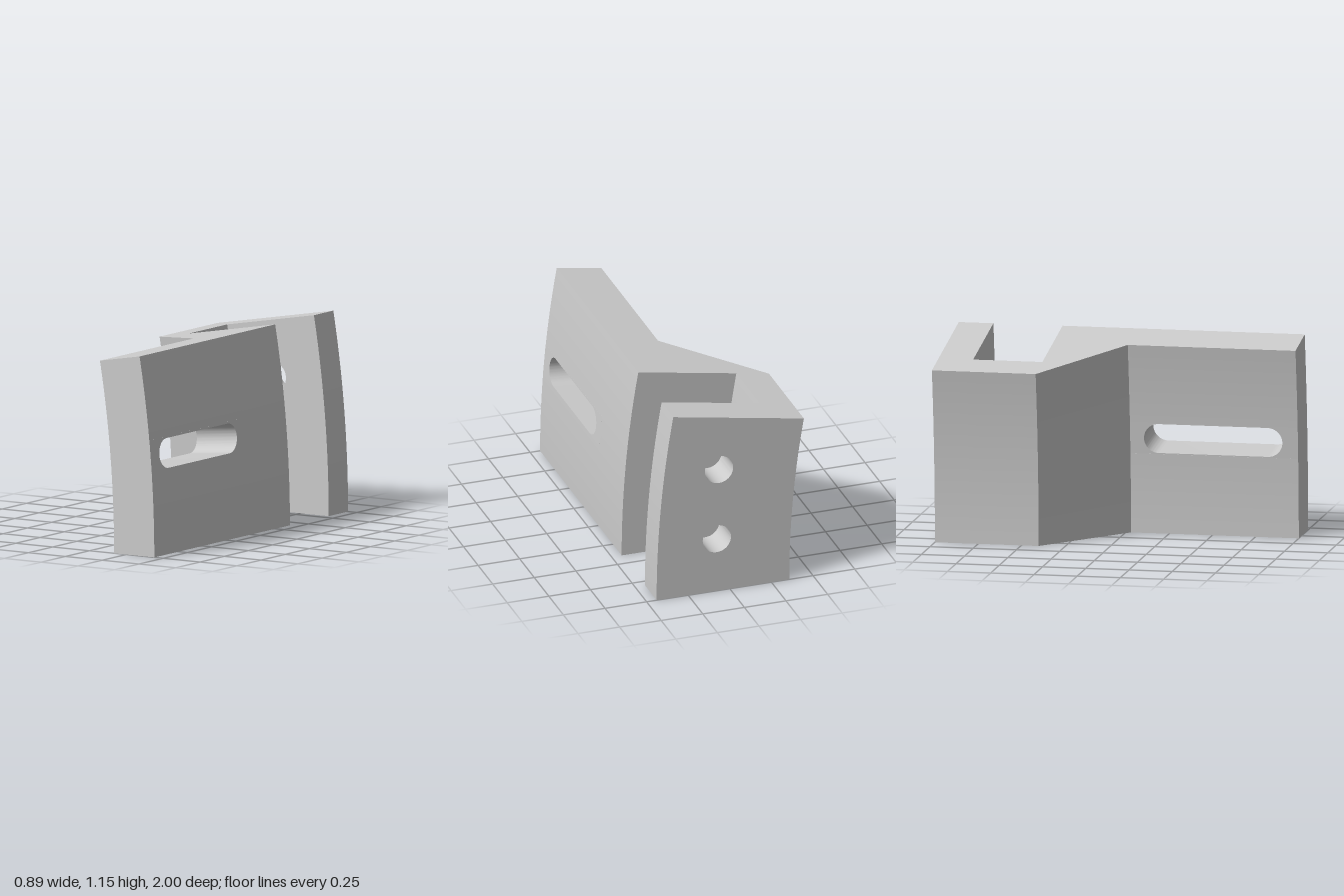
import * as THREE from 'three';
import { toCreasedNormals } from 'three/addons/utils/BufferGeometryUtils.js';

// The bracket is swept through 10 degrees about an axis parallel to z at x = CX, y = 0.
const CX = -6.154;
const SWEEP = THREE.MathUtils.degToRad(10);
const R_OUT = 0.44 - CX;     // outer face
const R_PLATE = 0.167 - CX;  // inner face of the slotted plate
const R_WEB = -0.158 - CX;   // floor of the channel
const R_IN = -0.357 - CX;    // innermost face
const HOLE = 0.085;          // radius of holes and slot ends

const material = new THREE.MeshStandardMaterial({ color: 0xcccccc });

function add(group, name, geometry) {
  const mesh = new THREE.Mesh(toCreasedNormals(geometry, 0.4), material);
  mesh.name = name;
  group.add(mesh);
}

// Curved block between two radii and two angles, running from z0 to z1
function sector(rIn, rOut, z0, z1, a0 = 0, a1 = SWEEP, holes = []) {
  const shape = new THREE.Shape();
  shape.absarc(CX, 0, rOut, a0, a1, false);
  shape.absarc(CX, 0, rIn, a1, a0, true);
  shape.closePath();
  for (const [x, y] of holes) {
    shape.holes.push(new THREE.Path().absarc(x, y, HOLE, 0, Math.PI * 2, true));
  }
  const geometry = new THREE.ExtrudeGeometry(shape, { depth: z1 - z0, bevelEnabled: false, curveSegments: 28 });
  return geometry.translate(0, 0, z0);
}

// Sector whose inner face slopes from R_IN at the back to R_PLATE at the front
function slopedSector(z0, z1) {
  const geometry = sector(R_IN, R_OUT, z0, z1);
  const p = geometry.attributes.position;
  for (let i = 0; i < p.count; i++) {
    const dx = p.getX(i) - CX, y = p.getY(i);
    if (p.getZ(i) > z1 - 0.01 && Math.hypot(dx, y) < R_IN + 0.01) {
      const k = R_PLATE / R_IN;
      p.setXY(i, CX + dx * k, y * k);
    }
  }
  return geometry;
}

// Narrow band at mid sweep with a rounded slot cut along the radius
function slotBand(z0, z1, s0, s1, h) {
  const shape = new THREE.Shape();
  shape.moveTo(-z1, -h).lineTo(-z0, -h).lineTo(-z0, h).lineTo(-z1, h).closePath();
  const slot = new THREE.Path();
  slot.absarc(-s0 - HOLE, 0, HOLE, -Math.PI / 2, Math.PI / 2, false);
  slot.absarc(-s1 + HOLE, 0, HOLE, Math.PI / 2, Math.PI * 1.5, false);
  slot.closePath();
  shape.holes.push(slot);
  return new THREE.ExtrudeGeometry(shape, { depth: R_OUT - R_PLATE, bevelEnabled: false, curveSegments: 20 })
    .translate(0, 0, R_PLATE)
    .rotateY(Math.PI / 2)
    .rotateZ(SWEEP / 2)
    .translate(CX, 0, 0);
}

export function createModel() {
  const group = new THREE.Group();
  group.name = 'curvedBracket';

  // Channel: drilled back flange, web and sloped front wall
  add(group, 'backFlange', sector(R_IN, R_OUT, -1, -0.8, 0, SWEEP, [[0.065, 0.767], [0.078, 0.33]]));
  add(group, 'channelWeb', sector(R_IN, R_WEB, -0.8, -0.4));
  add(group, 'slopedWall', slopedSector(-0.4, 0.03));

  // Slotted plate: solid strips below and above the slot band
  const h = 0.095, half = h / R_OUT, mid = SWEEP / 2;
  add(group, 'plateLower', sector(R_PLATE, R_OUT, 0.03, 1, 0, mid - half));
  add(group, 'plateSlotBand', slotBand(0.03, 1, 0.11, 0.91, h));
  add(group, 'plateUpper', sector(R_PLATE, R_OUT, 0.03, 1, mid + half, SWEEP));

  return group;
}
